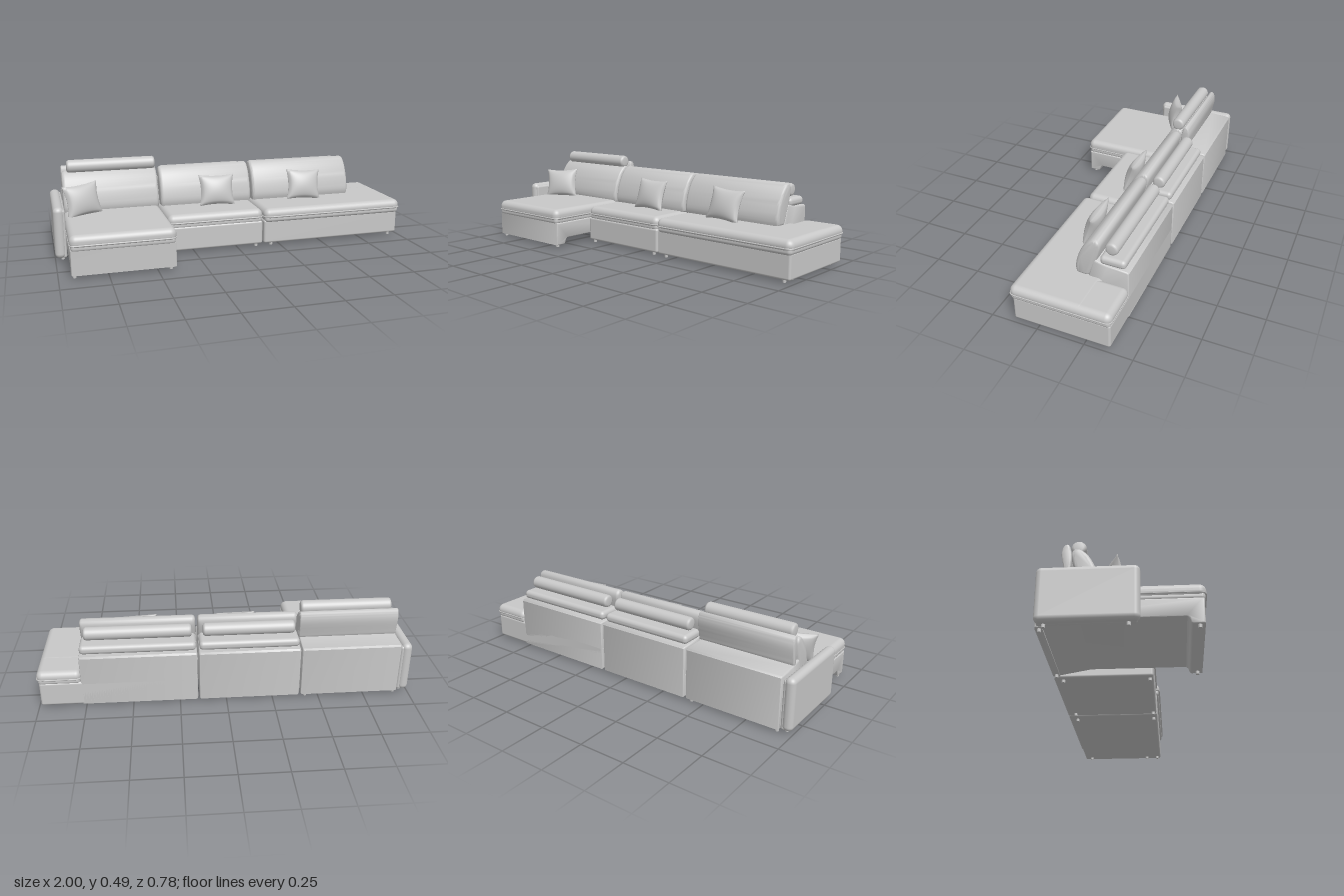
import * as THREE from 'three';
import { mergeVertices, toCreasedNormals } from 'three/addons/utils/BufferGeometryUtils.js';
import { RoundedBoxGeometry } from 'three/addons/geometries/RoundedBoxGeometry.js';

export function createModel() {
  const sofa = new THREE.Group();
  sofa.name = 'sectionalSofa';
  const fabric = new THREE.MeshStandardMaterial({ color: 0xc8c8c8 });
  fabric.name = 'light grey fabric';

  function add(name, geometry, x = 0, y = 0, z = 0) {
    const mesh = new THREE.Mesh(geometry, fabric);
    mesh.name = name;
    mesh.position.set(x, y, z);
    sofa.add(mesh);
    return mesh;
  }

  // Rounded block given by its limits on each axis
  function block(name, [x0, x1], [y0, y1], [z0, z1], r) {
    return add(name, new RoundedBoxGeometry(x1 - x0, y1 - y0, z1 - z0, 5, r),
      (x0 + x1) / 2, (y0 + y1) / 2, (z0 + z1) / 2);
  }

  // Side profile of [z, y] points swept along x with rounded ends
  function sweep(name, points, [x0, x1], bevel, smooth = false) {
    const pts = points.map(([z, y]) => new THREE.Vector2(z, y));
    const outline = smooth
      ? new THREE.SplineCurve([...pts, pts[0]]).getPoints(44).slice(0, -1) : pts;
    const geometry = new THREE.ExtrudeGeometry(new THREE.Shape(outline), {
      depth: x1 - x0 - 2 * bevel, bevelThickness: bevel, bevelSize: bevel,
      bevelOffset: -bevel, bevelSegments: 4,
    });
    geometry.translate(0, 0, bevel);
    geometry.rotateY(-Math.PI / 2);
    return add(name, toCreasedNormals(geometry, 0.7), x1, 0, 0);
  }

  // Thin piping following a seat cushion's edge
  function piping([x0, x1], y, [z0, z1]) {
    const c = 0.03, e = 0.002;
    const a = x0 - e, b = x1 + e, f = z0 - e, g = z1 + e;
    const path = new THREE.CurvePath();
    const v = (x, z) => new THREE.Vector3(x, y, z);
    const corners = [[v(a, f + c), v(a, f), v(a + c, f)], [v(b - c, f), v(b, f), v(b, f + c)],
      [v(b, g - c), v(b, g), v(b - c, g)], [v(a + c, g), v(a, g), v(a, g - c)]];
    corners.forEach((p, i) => {
      path.add(new THREE.QuadraticBezierCurve3(...p));
      path.add(new THREE.LineCurve3(p[2], corners[(i + 1) % 4][0]));
    });
    add('seatPiping', new THREE.TubeGeometry(path, 120, 0.004, 6, true));
  }

  // Seat cushion made of a thick upper pad over a thin lower pad
  function seat(x, top, z) {
    block('seatCushion', x, [0.15, top], z, 0.033);
    block('seatUnderpad', [x[0] + 0.006, x[1] - 0.006], [0.138, 0.18], [z[0] + 0.006, z[1] - 0.006], 0.018);
    piping([x[0] + 0.003, x[1] - 0.003], 0.172, [z[0] + 0.003, z[1] - 0.003]);
  }

  // Round headrest bolster lying along x
  function bolster([x0, x1], y, z, r) {
    const h = (x1 - x0) / 2, c = 0.014;
    const profile = [[0, -h], [r - c, -h], [r - c * 0.3, -h + c * 0.3], [r, -h + c],
      [r, h - c], [r - c * 0.3, h - c * 0.3], [r - c, h], [0, h]];
    const geometry = new THREE.LatheGeometry(profile.map((p) => new THREE.Vector2(...p)), 32);
    geometry.rotateZ(Math.PI / 2);
    add('headrestBolster', geometry, (x0 + x1) / 2, y, z);
  }

  // Throw pillow: puffed middle, thin edges, corners drawn out
  function pillow(x, y, z, yaw, lean, roll) {
    let geometry = new THREE.BoxGeometry(2, 2, 2, 20, 20, 1);
    const p = geometry.attributes.position;
    for (let i = 0; i < p.count; i++) {
      const u = p.getX(i), v = p.getY(i);
      const puff = Math.sqrt(Math.max(0, (1 - u * u) * (1 - v * v)));
      p.setXYZ(i, u * 0.105 * (1 - 0.12 * (1 - v * v)), v * 0.09 * (1 - 0.1 * (1 - u * u)),
        Math.sign(p.getZ(i)) * (0.002 + 0.036 * puff));
    }
    geometry.deleteAttribute('normal');
    geometry.deleteAttribute('uv');
    geometry = mergeVertices(geometry, 1e-5);
    geometry.computeVertexNormals();
    const mesh = add('throwPillow', geometry, x, y, z);
    mesh.rotation.set(lean, yaw, roll, 'YXZ');
  }

  const backPanel = [[-0.38, 0.016], [-0.38, 0.288], [-0.372, 0.297], [-0.27, 0.301],
    [-0.205, 0.318], [-0.196, 0.31], [-0.165, 0.2], [-0.165, 0.016]];
  const backCushion = [[-0.105, 0.212], [-0.098, 0.25], [-0.113, 0.32], [-0.145, 0.387], [-0.185, 0.427],
    [-0.217, 0.428], [-0.231, 0.4], [-0.219, 0.34], [-0.195, 0.27], [-0.172, 0.215], [-0.14, 0.208]];

  // Chaise section
  const chaise = [-0.937, -0.403];
  sweep('chaiseBase', [[0.375, 0.016], [0.375, 0.146], [-0.375, 0.146], [-0.375, 0.016], [-0.345, 0.016],
    [-0.345, 0.052], [0.295, 0.052], [0.305, 0.042], [0.312, 0.022], [0.32, 0.016]], chaise, 0.008);
  seat([-0.94, -0.4], 0.223, [-0.25, 0.385]);
  sweep('backPanel', backPanel.map(([z, y]) => [z, y < 0.05 && z > -0.3 ? 0.055 : y]), chaise, 0.01);
  sweep('backCushion', backCushion, [-0.935, -0.403], 0.018, true);
  sweep('raisedHeadrest', [[-0.235, 0.3], [-0.226, 0.37], [-0.234, 0.435], [-0.25, 0.455],
    [-0.268, 0.44], [-0.275, 0.4], [-0.265, 0.34], [-0.255, 0.3]], [-0.935, -0.4], 0.009, true);
  bolster([-0.905, -0.41], 0.457, -0.2, 0.036);

  // Middle and end sections
  block('middleBase', [-0.397, 0.145], [0.015, 0.15], [-0.378, 0.128], 0.012);
  seat([-0.397, 0.147], 0.217, [-0.25, 0.132]);
  block('endBase', [0.153, 0.987], [0.015, 0.15], [-0.38, 0.131], 0.012);
  seat([0.152, 0.997], 0.216, [-0.25, 0.147]);
  seat([0.764, 0.998], 0.215, [-0.386, 0.146]);
  for (const [x0, x1] of [[-0.395, 0.145], [0.154, 0.77]]) {
    sweep('backPanel', backPanel, [x0, x1], 0.01);
    sweep('backCushion', backCushion, [x0 + 0.003, x1], 0.018, true);
    block('backShelfCushion', [x0 + 0.005, x1 - 0.003], [0.299, 0.347], [-0.361, -0.226], 0.021);
    bolster([x0 + 0.025, x1 - 0.025], 0.384, -0.279, 0.035);
  }

  // Armrest
  block('armrest', [-1, -0.945], [0.016, 0.295], [-0.378, 0.092], 0.026);
  block('armInnerPanel', [-0.968, -0.938], [0.016, 0.28], [-0.37, 0.08], 0.012);

  // Throw pillows
  pillow(-0.835, 0.3, -0.04, 0.42, -0.25, 0.05);
  pillow(-0.073, 0.3, -0.066, 0, -0.3, -0.02);
  pillow(0.462, 0.3, -0.066, 0, -0.3, -0.06);

  // Small feet
  const feet = [[-0.96, 0.04], [-0.96, -0.335], [-0.92, 0.35], [-0.43, 0.35], [-0.92, -0.36], [-0.43, -0.36],
    [-0.365, 0.11], [0.11, 0.11], [-0.365, -0.335], [0.11, -0.335],
    [0.2, 0.11], [0.945, 0.11], [0.2, -0.335], [0.945, -0.335], [0.945, 0.04]];
  for (const [x, z] of feet) {
    add('foot', new THREE.CylinderGeometry(0.01, 0.009, 0.022, 16), x, 0.011, z);
  }
  return sofa;
}
